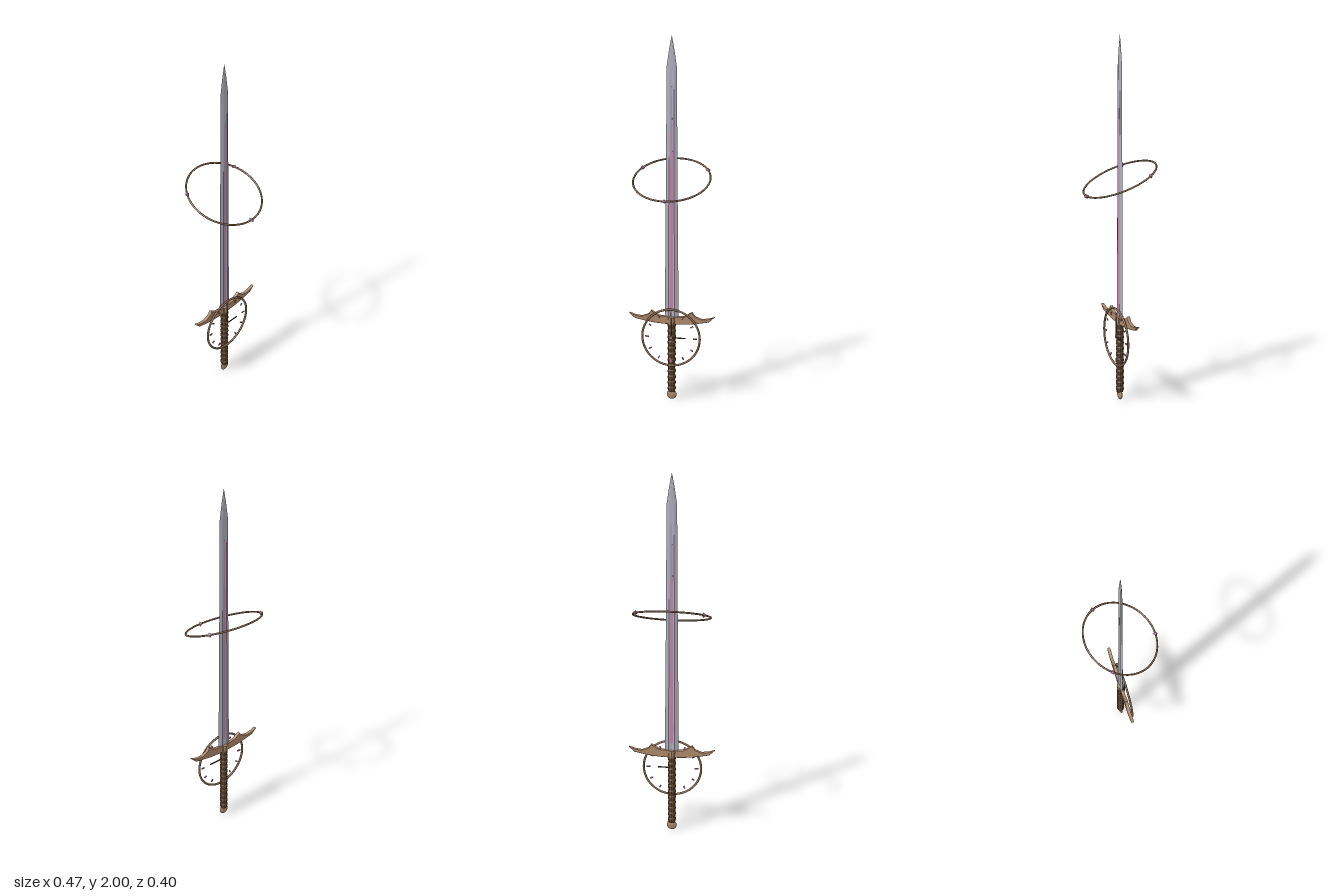
import * as THREE from 'three';

const mat = (color, flatShading = true) => {
  const m = new THREE.MeshStandardMaterial({ color });
  m.flatShading = flatShading;
  return m;
};
const bronze = mat(0xb08a6a), darkBronze = mat(0x8c6c52, false), leather = mat(0x62472f);
const steel = mat(0xb0b0be), pink = mat(0xc983a8), dark = mat(0x4a3a30);
const Z = -0.006; // mid-plane of the sword

function add(parent, name, geometry, material, x = 0, y = 0, z = 0) {
  const mesh = new THREE.Mesh(geometry, material);
  mesh.name = name;
  mesh.position.set(x, y, z);
  parent.add(mesh);
  return mesh;
}

// Joins horizontal cross-sections (counter-clockwise from +x towards -z) into a closed solid
function loft(sections) {
  const n = sections[0].length, pos = sections.flat(2), index = [];
  for (let s = 0; s < sections.length - 1; s++) {
    for (let i = 0; i < n; i++) {
      const a = s * n + i, b = s * n + (i + 1) % n;
      index.push(a, b, b + n, a, b + n, a + n);
    }
  }
  const top = (sections.length - 1) * n;
  for (let i = 1; i < n - 1; i++) {
    index.push(0, i + 1, i, top, top + i, top + i + 1);
  }
  const g = new THREE.BufferGeometry();
  g.setAttribute('position', new THREE.Float32BufferAttribute(pos, 3));
  g.setIndex(index);
  const flat = g.toNonIndexed();
  flat.computeVertexNormals();
  return flat;
}

// Blade section with a central groove on both faces
const bladeSection = ([y, w, t, groove]) => [
  [w, y, 0], [w * 0.45, y, -t], [0, y, -t * groove], [-w * 0.45, y, -t],
  [-w, y, 0], [-w * 0.45, y, t], [0, y, t * groove], [w * 0.45, y, t],
];

function makeBlade() {
  const blade = new THREE.Group();
  blade.name = 'blade';
  add(blade, 'bladeBody', loft([
    [0.47, 0.038, 0.009, 0.5], [0.62, 0.037, 0.0085, 0.5], [1.3, 0.031, 0.007, 0.5],
    [1.75, 0.028, 0.006, 0.8], [1.84, 0.027, 0.005, 1], [1.93, 0.014, 0.004, 1],
    [2.0, 0.0005, 0.0005, 1],
  ].map(bladeSection)), steel);
  // Coloured inlay lying in both grooves
  add(blade, 'bladeInlay', loft([[0.52, 0.012, 0.0066], [1.3, 0.008, 0.0053], [1.74, 0.001, 0.005]]
    .map(([y, w, t]) => [[w, y, -t], [-w, y, -t], [-w, y, t], [w, y, t]])), pink);
  blade.position.z = Z;
  return blade;
}

function makeGuard() {
  // Right half of the winged outline, mirrored for the left
  const upper = [[0.022, 0.478], [0.07, 0.482], [0.112, 0.508], [0.128, 0.486], [0.165, 0.472],
    [0.2, 0.476], [0.235, 0.488]];
  const lower = [[0.205, 0.462], [0.15, 0.451], [0.1, 0.443], [0.04, 0.439]];
  const half = [...upper, ...lower];
  const outline = [...half, ...half.map(([x, y]) => [-x, y]).reverse()];
  const shape = new THREE.Shape(outline.map(([x, y]) => new THREE.Vector2(x, y)));
  const g = new THREE.ExtrudeGeometry(shape, {
    depth: 0.012, bevelEnabled: true, bevelThickness: 0.003, bevelSize: 0.002, bevelSegments: 1,
  });
  g.translate(0, 0, Z - 0.006);
  return g;
}

function makeGrip() {
  const grip = new THREE.Group();
  grip.name = 'grip';
  // Core and the raised bands wound around it
  const profile = [[0, 0.045], [0.019, 0.045]];
  const bands = 12, step = 0.4 / bands;
  for (let i = 0; i < bands; i++) {
    const y = 0.045 + i * step;
    profile.push([0.0195, y + step * 0.2], [0.0225, y + step * 0.4],
      [0.0225, y + step * 0.75], [0.0195, y + step * 0.95]);
  }
  profile.push([0.019, 0.45], [0, 0.45]);
  add(grip, 'wrappedHandle',
    new THREE.LatheGeometry(profile.map(([x, y]) => new THREE.Vector2(x, y)), 10), leather, 0, 0, Z);
  add(grip, 'collar', new THREE.CylinderGeometry(0.022, 0.02, 0.04, 8), bronze, 0, 0.458, Z);
  return grip;
}

function makeDial() {
  const dial = new THREE.Group();
  dial.name = 'clockDial';
  add(dial, 'dialRing', new THREE.TorusGeometry(0.16, 0.006, 8, 48), darkBronze);
  for (let i = 0; i < 12; i++) {
    const a = i * Math.PI / 6;
    const long = i % 3 === 0 ? 0.02 : 0.016;
    add(dial, 'hourMark', new THREE.BoxGeometry(long, 0.007, 0.005), pink,
      0.134 * Math.cos(a), 0.134 * Math.sin(a)).rotation.z = a;
  }
  add(dial, 'hourHand', new THREE.BoxGeometry(0.08, 0.006, 0.004), dark, 0.04, 0, 0);
  add(dial, 'minuteHand', new THREE.BoxGeometry(0.005, 0.11, 0.004), dark, 0, 0.055, 0.001);
  add(dial, 'handHub', new THREE.CylinderGeometry(0.008, 0.008, 0.006, 12), bronze).rotation.x = Math.PI / 2;
  dial.position.set(0, 0.365, 0.017);
  return dial;
}

function makeOrbit() {
  const orbit = new THREE.Group();
  orbit.name = 'floatingRing';
  const R = 0.207;
  add(orbit, 'ringBand', new THREE.TorusGeometry(R, 0.005, 8, 48), darkBronze).rotation.x = Math.PI / 2;
  // Three gems spaced evenly, one at the front
  for (let i = 0; i < 3; i++) {
    const a = i * Math.PI * 2 / 3;
    add(orbit, 'ringGem', new THREE.OctahedronGeometry(0.014), pink, R * Math.sin(a), 0, R * Math.cos(a));
  }
  orbit.position.set(0, 1.243, Z);
  orbit.rotation.x = 0.39;
  return orbit;
}

export function createModel() {
  const model = new THREE.Group();
  model.name = 'clockSword';
  model.add(makeBlade(), makeGrip(), makeDial(), makeOrbit());
  add(model, 'crossGuard', makeGuard(), bronze);
  // Flattened ball at the bottom of the grip
  add(model, 'pommel', new THREE.SphereGeometry(0.028, 16, 10), bronze, 0, 0.028, Z).scale.z = 0.4;
  return model;
}
